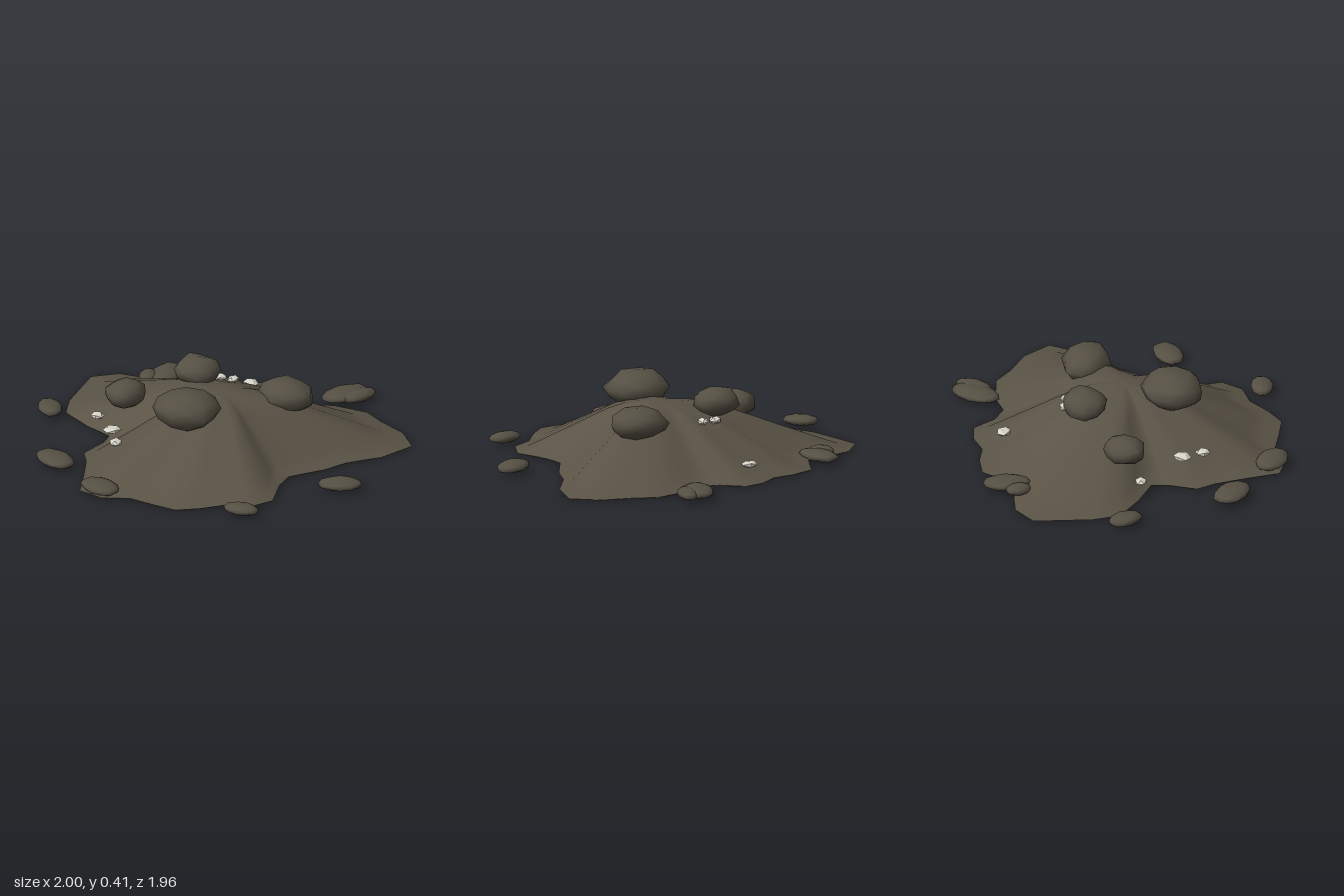
import * as THREE from 'three';
import { mergeVertices } from 'three/addons/utils/BufferGeometryUtils.js';

// Footprint of the mound as x, z pairs, going round from the left tip
const OUTLINE = [
  [-1, .01], [-.93, -.13], [-.67, -.27], [-.64, -.46], [-.53, -.53], [-.41, -.57], [-.33, -.66],
  [-.22, -.71], [-.09, -.65], [.02, -.65], [.11, -.74], [.29, -.82], [.42, -.8], [.6, -.8],
  [.76, -.73], [.76, -.53], [.69, -.34], [.68, -.2], [.62, .01], [.67, .12], [.79, .27],
  [.77, .4], [.67, .49], [.61, .63], [.54, .74], [.4, .79], [.27, .83], [.17, .94], [.03, .97],
  [-.1, .83], [-.22, .71], [-.31, .65], [-.34, .49], [-.38, .41], [-.56, .42], [-.75, .4], [-.85, .29],
];
// Slope from the summit outwards (share of the radius, height), ending in a thin folded lip
const SLOPE = [
  [.12, .307], [.24, .288], [.36, .25], [.48, .2], [.6, .148], [.72, .098],
  [.82, .056], [.91, .02], [1, .012], [.985, .004], [.9, .008],
];
const SUMMIT = [.08, .03];

function moundGeometry() {
  const n = OUTLINE.length, pos = [SUMMIT[0], .31, SUMMIT[1]], index = [];
  for (const [s, y] of SLOPE)
    for (const [x, z] of OUTLINE)
      pos.push(SUMMIT[0] + (x - SUMMIT[0]) * s, y, SUMMIT[1] + (z - SUMMIT[1]) * s);
  for (let i = 0; i < n; i++) {
    const j = (i + 1) % n;
    index.push(0, 1 + j, 1 + i);
    for (let r = 0; r < SLOPE.length - 1; r++) {
      const a = 1 + r * n + i, b = 1 + r * n + j;
      index.push(a, b, b + n, a, b + n, a + n);
    }
  }
  const g = new THREE.BufferGeometry();
  g.setAttribute('position', new THREE.Float32BufferAttribute(pos, 3));
  g.setIndex(index);
  g.computeVertexNormals();
  return g;
}

// Lumpy smooth stone filling a unit ball
function stoneGeometry(seed, rough) {
  let state = seed * 7919 + 17;
  const rand = () => (state = (state * 16807) % 2147483647) / 2147483647;
  for (let i = 0; i < 5; i++) rand();
  let g = new THREE.IcosahedronGeometry(1, 1);
  g.deleteAttribute('normal');
  g.deleteAttribute('uv');
  g = mergeVertices(g, 1e-4);
  const p = g.attributes.position, v = new THREE.Vector3();
  for (let i = 0; i < p.count; i++) {
    v.fromBufferAttribute(p, i).multiplyScalar(1 + (rand() - .5) * rough);
    p.setXYZ(i, v.x, v.y, v.z);
  }
  g.computeVertexNormals();
  return g;
}

export function createModel() {
  const model = new THREE.Group();
  const paint = (name, color, side = THREE.FrontSide) => {
    const m = new THREE.MeshStandardMaterial({ color, side });
    m.name = name;
    return m;
  };
  const earth = paint('earth', 0x5a5346, THREE.DoubleSide);
  const stone = paint('stone', 0x565044);
  const quartz = paint('quartz', 0xd8d4c8);

  const add = (name, geometry, material, at = [0, 0, 0], size = [1, 1, 1], turn = 0) => {
    const mesh = new THREE.Mesh(geometry, material);
    mesh.name = name;
    mesh.position.set(...at);
    mesh.scale.set(...size);
    mesh.rotation.y = turn;
    model.add(mesh);
  };

  add('mound', moundGeometry(), earth);

  // Boulders near the summit: position, half sizes, turn
  [
    [[.12, .325, .3], [.175, .1, .165], .3],
    [[.26, .28, -.28], [.16, .083, .13], .2],
    [[-.215, .315, -.06], [.13, .078, .12], .8],
    [[-.415, .21, .27], [.115, .07, .1], 1.4],
  ].forEach(([at, size, turn], i) => add('boulder', stoneGeometry(i + 1, .22), stone, at, size, turn));

  // Flat stones round the foot: x, z, half length, half width, turn
  [
    [.08, -.84, .14, .085, 1.5], [.145, -.885, .105, .055, 1.5],
    [-.725, -.28, .13, .08, -1.05], [-.765, -.19, .07, .05, -.8],
    [.905, -.1, .12, .075, .85], [-.81, .46, .1, .065, -.5],
    [.8, .5, .1, .06, .5], [-.31, .85, .13, .085, -.1], [.105, .89, .125, .083, .05],
  ].forEach(([x, z, l, w, turn], i) =>
    add('footStone', stoneGeometry(i + 11, .08), stone, [x, .04, z], [l, .03, w], turn));

  // Pale quartz chips
  const chip = new THREE.IcosahedronGeometry(1, 0);
  [
    [-.29, .075, -.5, .047], [-.18, .245, -.19, .042], [-.105, .25, -.22, .037], [.18, .265, -.2, .035],
    [-.49, .09, .4, .04], [-.23, .138, .52, .053], [-.12, .125, .59, .044],
  ].forEach(([x, y, z, r], i) => add('quartzChip', chip, quartz, [x, y, z], [r, .02, r * .85], i * .9));

  return model;
}
